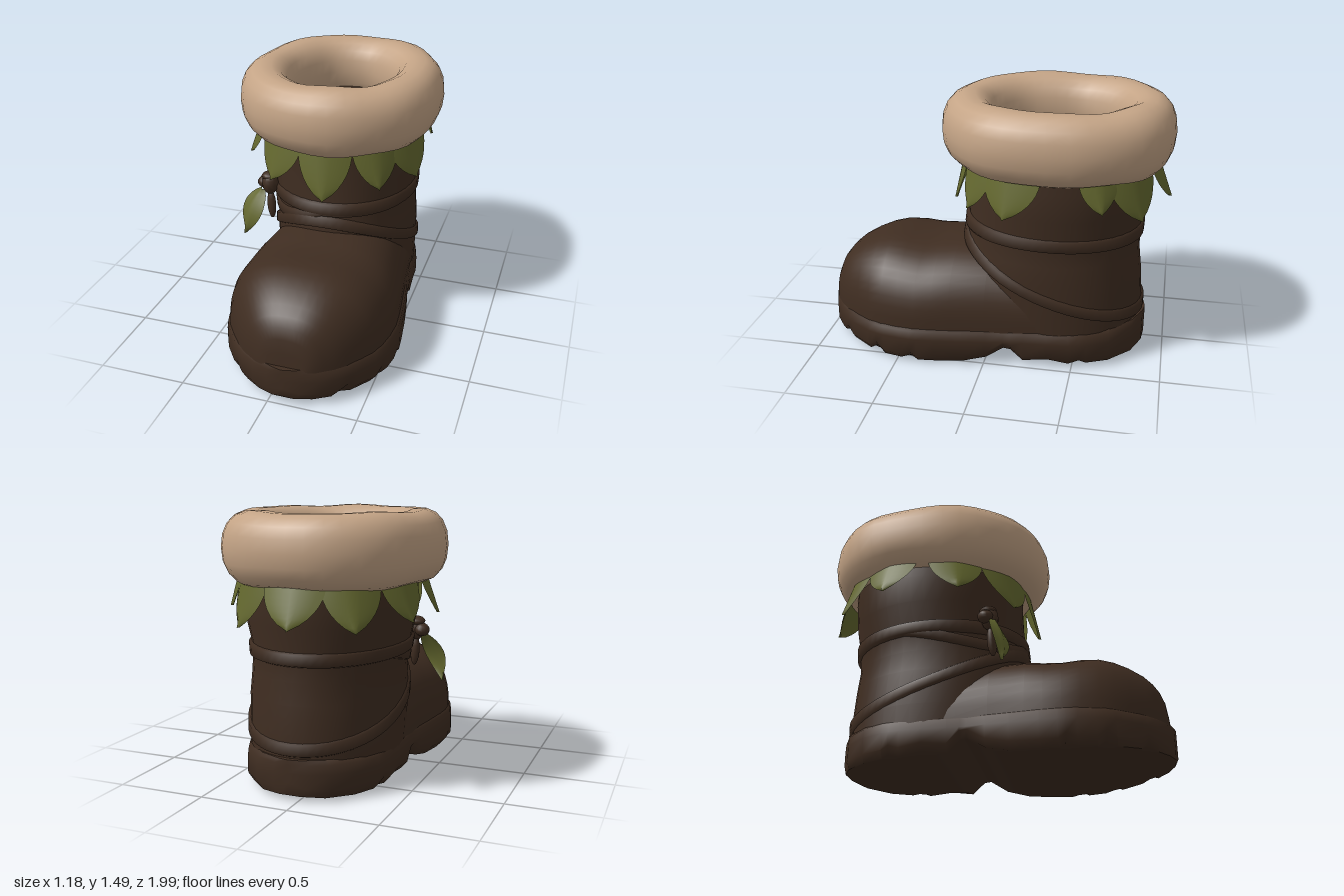
import * as THREE from 'three';
import { mergeVertices, toCreasedNormals } from 'three/addons/utils/BufferGeometryUtils.js';

const mat = (name, color, side = THREE.FrontSide) => {
  const m = new THREE.MeshStandardMaterial({ color, side });
  m.name = name;
  return m;
};

// Surface through a grid of points; normal is (along i) x (along j)
function surface(ni, nj, point, crease = 0) {
  const pos = [], idx = [];
  for (let i = 0; i <= ni; i++)
    for (let j = 0; j <= nj; j++) pos.push(...point(i, j));
  for (let i = 0; i < ni; i++)
    for (let j = 0; j < nj; j++) {
      const a = i * (nj + 1) + j, b = a + nj + 1;
      idx.push(a, b, b + 1, a, b + 1, a + 1);
    }
  let g = new THREE.BufferGeometry();
  g.setAttribute('position', new THREE.Float32BufferAttribute(pos, 3));
  g.setIndex(idx);
  g = mergeVertices(g, 1e-4);
  g.computeVertexNormals();
  return crease ? toCreasedNormals(g, crease) : g;
}

// Linear lookup of one column in rows sorted by their first value
function lookup(rows, key, col) {
  if (key <= rows[0][0]) return rows[0][col];
  for (let i = 1; i < rows.length; i++) {
    const a = rows[i - 1], b = rows[i];
    if (key <= b[0]) return THREE.MathUtils.lerp(a[col], b[col], (key - a[0]) / (b[0] - a[0]));
  }
  return rows[rows.length - 1][col];
}

// Shaft sections: y, left x, right x, back z, front z
const SHAFT = [
  [0.12, -0.365, 0.465, -0.855, 0.16], [0.3, -0.375, 0.47, -0.86, 0.18],
  [0.5, -0.375, 0.475, -0.845, 0.2], [0.62, -0.37, 0.465, -0.83, 0.19],
  [0.75, -0.39, 0.455, -0.83, 0.17], [0.9, -0.43, 0.485, -0.855, 0.155],
  [1.05, -0.445, 0.48, -0.865, 0.15], [1.2, -0.44, 0.47, -0.865, 0.15],
];
const power = (v, p) => Math.sign(v) * Math.abs(v) ** p;

// Point on the shaft at an angle (0 = front, + = +x) and height, pushed outward
function onShaft(a, y, off = 0) {
  const [xl, xr, zb, zf] = [1, 2, 3, 4].map(c => lookup(SHAFT, y, c));
  return [
    (xl + xr) / 2 + ((xr - xl) / 2 + off) * power(Math.sin(a), 0.98), y,
    (zb + zf) / 2 + ((zf - zb) / 2 + off) * power(Math.cos(a), 0.98)];
}

// Sole stations: z, left x, right x, underside y, edge notch
const SOLE = [
  [-0.885, 0.05, 0.05, 0.06, 0], [-0.875, -0.05, 0.14, 0.03, 0],
  [-0.82, -0.17, 0.265, 0.02, 0], [-0.7, -0.285, 0.385, 0.015, 0],
  [-0.58, -0.345, 0.44, 0.015, 0], [-0.54, -0.355, 0.455, 0.015, 0.02],
  [-0.48, -0.365, 0.47, 0.015, 0], [-0.36, -0.375, 0.48, 0.02, 0.015],
  [-0.22, -0.375, 0.49, 0.02, 0], [-0.15, -0.375, 0.5, 0.09, 0],
  [-0.11, -0.375, 0.5, 0.095, 0], [-0.01, -0.39, 0.52, 0.035, 0],
  [0.12, -0.405, 0.54, 0.006, 0], [0.28, -0.425, 0.56, 0, 0],
  [0.38, -0.43, 0.57, 0, 0], [0.42, -0.43, 0.57, 0, 0.03],
  [0.48, -0.425, 0.565, 0.004, 0], [0.58, -0.4, 0.55, 0.008, 0],
  [0.63, -0.385, 0.535, 0.01, 0.04], [0.68, -0.36, 0.515, 0.015, 0],
  [0.8, -0.275, 0.44, 0.025, 0], [0.84, -0.24, 0.41, 0.03, 0.03],
  [0.89, -0.19, 0.36, 0.03, 0], [0.95, -0.1, 0.275, 0.035, 0],
  [0.985, -0.01, 0.18, 0.04, 0], [1, 0.08, 0.08, 0.06, 0],
];

// Top line of the foot: z, y
const FOOT = [
  [-0.3, 0.58], [0, 0.62], [0.2, 0.622], [0.3, 0.61], [0.4, 0.605], [0.5, 0.618],
  [0.6, 0.622], [0.68, 0.605], [0.76, 0.575], [0.84, 0.53], [0.89, 0.485],
  [0.925, 0.44], [0.95, 0.38], [0.963, 0.3], [0.972, 0.2],
];

export function createModel() {
  const group = new THREE.Group();
  const leather = mat('darkBrownLeather', 0x3f2d21);
  const fur = mat('tanFur', 0xc4a486);
  const green = mat('leafGreen', 0x64682f, THREE.DoubleSide);
  const add = (name, geo, material) => {
    const m = new THREE.Mesh(geo, material);
    m.name = name;
    group.add(m);
    return m;
  };
  const TAU = Math.PI * 2;

  // Chunky sole with arch and tread notches
  add('sole', surface(SOLE.length - 1, 12, (i, j) => {
    const [z, l, r, b, n] = SOLE[i];
    const e = Math.min(0.035, (r - l) / 4);
    const ring = [
      [l + e, 0.225], [r - e, 0.225], [r - e * 0.2, 0.2], [r, 0.15], [r, b + 0.04 + n],
      [r - e, b + n], [r - e * 2, b], [l + e * 2, b], [l + e, b + n], [l, b + 0.04 + n],
      [l, 0.15], [l + e * 0.2, 0.2]];
    return [...ring[j % 12], z];
  }, 0.9), leather);

  // Rounded toe and instep
  add('foot', surface(FOOT.length - 1, 24, (i, j) => {
    const [z, top] = FOOT[i];
    const l = lookup(SOLE, z, 1) + 0.017, r = lookup(SOLE, z, 2) - 0.017;
    const a = Math.PI * (1 - j / 24);
    return [(l + r) / 2 + (r - l) / 2 * power(Math.cos(a), 0.8),
      0.18 + (top - 0.18) * Math.max(0, Math.sin(a)) ** 0.8, z];
  }), leather);

  // Shaft, and the lining seen through the opening
  add('shaft', surface(40, SHAFT.length - 1,
    (i, j) => onShaft(i / 40 * TAU, SHAFT[j][0])), leather);
  add('lining', surface(40, 1, (i, j) =>
    j ? [0.015, 1.18, -0.36] : onShaft(i / 40 * TAU, 1.2)), leather);

  // Straps wound round the shaft, each following a height rule
  const strap = (name, height, h, t) => add(name, surface(56, 3, (i, j) => {
    const a = i / 56 * TAU;
    const [off, dy] = [[-0.01, -h], [t, -h * 0.7], [t, h * 0.7], [-0.01, h]][j];
    return onShaft(a, height(a) + dy, off);
  }), leather);
  strap('upperStrap', a => 0.75 + 0.01 * Math.cos(a), 0.042, 0.018);
  strap('crossStrap', a => 0.745 - 0.12 * Math.max(0, -Math.sin(a)) * Math.max(0, 0.3 + Math.cos(a)), 0.036, 0.013);
  strap('instepStrap', a => 0.45 + 0.205 * Math.cos(a) + 0.025 * Math.cos(2 * a), 0.042, 0.014);

  // Knot and strap tail on the side
  const lump = (name, x, y, z, sx, sy, sz, tilt) => {
    const m = add(name, new THREE.SphereGeometry(1, 12, 8), leather);
    m.position.set(x, y, z);
    m.scale.set(sx, sy, sz);
    m.rotation.set(0, -0.7, tilt);
  };
  lump('knot', -0.345, 0.795, 0.01, 0.05, 0.07, 0.05, 0);
  lump('knotLoop', -0.385, 0.79, -0.01, 0.045, 0.038, 0.045, 0.2);
  lump('knotTop', -0.35, 0.84, 0, 0.05, 0.026, 0.05, 0.1);
  lump('strapTail', -0.335, 0.66, 0.02, 0.03, 0.09, 0.025, 0.1);

  // Ring of pointed leaves: angle in degrees, tip height, half width, outward lean
  const leaves = [
    [4, 0.84, 0.15, 0.07], [-33, 0.885, 0.175, 0.06], [38, 0.9, 0.135, 0.06],
    [66, 0.91, 0.16, 0.06], [-70, 0.92, 0.14, 0.08], [118, 0.97, 0.1, 0.05],
    [144, 0.89, 0.17, 0.06], [182, 0.915, 0.16, 0.09], [-144, 0.9, 0.15, 0.08],
    [-110, 0.93, 0.14, 0.08]];
  for (const [deg, tip, w, lean] of leaves) {
    add('collarLeaf', surface(8, 8, (i, j) => {
      const s = i / 4 - 1, t = 1 - j / 8;
      const across = s * w * (1 - t ** 2.2) ** 0.88;
      const off = 0.022 + lean * t + 0.016 * (1 - Math.abs(s));
      const p = onShaft(deg * Math.PI / 180 + across / 0.47, 1.1, off);
      p[1] = 1.16 + (tip - 1.16) * t;
      return p;
    }), green);
  }

  // Leaf hanging from the knot
  add('hangingLeaf', surface(6, 10, (i, j) => {
    const s = i / 3 - 1, t = 1 - j / 10;
    const w = s * 0.08 * Math.sin(Math.PI * Math.min(1, 0.06 + 0.94 * t ** 0.85));
    const fold = 0.02 * (1 - Math.abs(s)) + 0.03 * Math.sin(Math.PI * t);
    return [-0.378 - 0.1 * t + 0.85 * w - 0.5 * fold,
      0.765 - 0.29 * t - 0.25 * w, 0.03 + 0.06 * t + 0.5 * w + 0.85 * fold];
  }), green);

  // Plump, slightly uneven fur cuff, squarer on the +x side
  add('furCuff', surface(40, 18, (i, j) => {
    const a = i / 40 * TAU, f = j / 18 * TAU;
    const lumpy = 0.004 * Math.sin(5 * a + 1) + 0.003 * Math.sin(8 * a);
    const c = power(Math.cos(f), 0.88), s = power(Math.sin(f), 0.9);
    const r = 0.148 * c + lumpy * c;
    const p = 0.95 - 0.1 * Math.max(0, Math.sin(a)) * (0.5 + 0.5 * c);
    return [(0.443 + r) * power(Math.sin(a), p), 1.294 + (0.194 + lumpy) * s,
      -0.342 + (0.507 + r) * power(Math.cos(a), p)];
  }), fur);

  return group;
}
